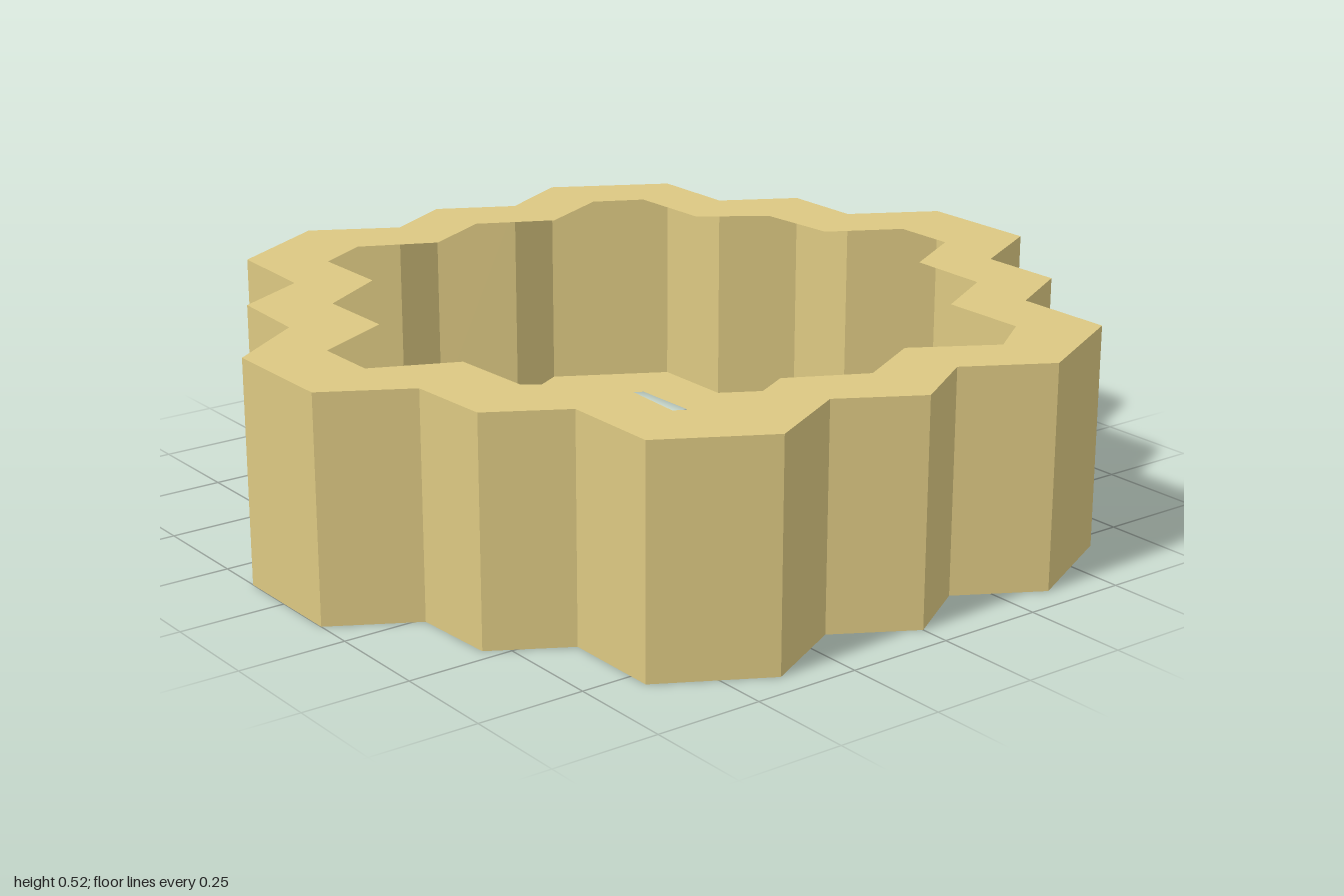
import * as THREE from 'three';

const HEIGHT = 0.52;

// Outlines as [x, z], running from the back round by the +x side
const outer = [
  [-0.365, -0.94], [-0.17, -0.83], [0, -0.925], [0.175, -0.83], [0.36, -0.93],
  [0.625, -0.78], [0.625, -0.56], [0.8, -0.46], [0.8, -0.26], [1, -0.145],
  [1, 0.155], [0.8, 0.26], [0.8, 0.465], [0.625, 0.56], [0.625, 0.8],
  [0.36, 0.935], [0.17, 0.825], [0, 0.93], [-0.18, 0.825], [-0.39, 0.935],
  [-0.63, 0.8], [-0.63, 0.565], [-0.8, 0.465], [-0.81, 0.265], [-1, 0.155],
  [-1, -0.135], [-0.81, -0.265], [-0.8, -0.47], [-0.625, -0.56], [-0.615, -0.8],
];
const inner = [
  [-0.345, -0.74], [-0.17, -0.655], [0, -0.745], [0.175, -0.655], [0.36, -0.745],
  [0.475, -0.685], [0.48, -0.47], [0.63, -0.365], [0.645, -0.165], [0.815, -0.07],
  [0.815, 0.085], [0.645, 0.18], [0.64, 0.385], [0.47, 0.48], [0.47, 0.69],
  [0.355, 0.77], [0.17, 0.66], [0, 0.75], [-0.175, 0.66], [-0.355, 0.755],
  [-0.48, 0.69], [-0.47, 0.48], [-0.63, 0.37], [-0.64, 0.17], [-0.83, 0.085],
  [-0.83, -0.07], [-0.64, -0.165], [-0.64, -0.365], [-0.47, -0.47], [-0.47, -0.67],
];
// The lower rim has no notch on the +x side
const lowerInner = inner.filter(([x]) => x < 0.8);

// Flat ring lying in the xz plane, facing up
function rimGeometry(hole) {
  const points = (list) => list.map(([x, z]) => new THREE.Vector2(x, -z));
  const shape = new THREE.Shape(points(outer));
  shape.holes.push(new THREE.Path(points(hole)));
  return new THREE.ShapeGeometry(shape).rotateX(-Math.PI / 2);
}

// One upright quad per outline edge, facing outwards
function wallGeometry() {
  const positions = [];
  outer.forEach(([ax, az], i) => {
    const [bx, bz] = outer[(i + 1) % outer.length];
    positions.push(ax, 0, az, ax, HEIGHT, az, bx, HEIGHT, bz);
    positions.push(ax, 0, az, bx, HEIGHT, bz, bx, 0, bz);
  });
  const geometry = new THREE.BufferGeometry();
  geometry.setAttribute('position', new THREE.Float32BufferAttribute(positions, 3));
  geometry.computeVertexNormals();
  return geometry;
}

export function createModel() {
  const group = new THREE.Group();
  group.name = 'zigzagRing';
  const material = new THREE.MeshStandardMaterial({
    color: 0xdcc882, flatShading: true, side: THREE.DoubleSide,
  });
  const add = (name, geometry, y = 0) => {
    const mesh = new THREE.Mesh(geometry, material);
    mesh.name = name;
    mesh.position.y = y;
    group.add(mesh);
  };

  // Hollow shell: outer wall with a rim above and below, open on the inside
  add('outerWall', wallGeometry());
  add('upperRim', rimGeometry(inner), HEIGHT);
  add('lowerRim', rimGeometry(lowerInner));
  return group;
}
